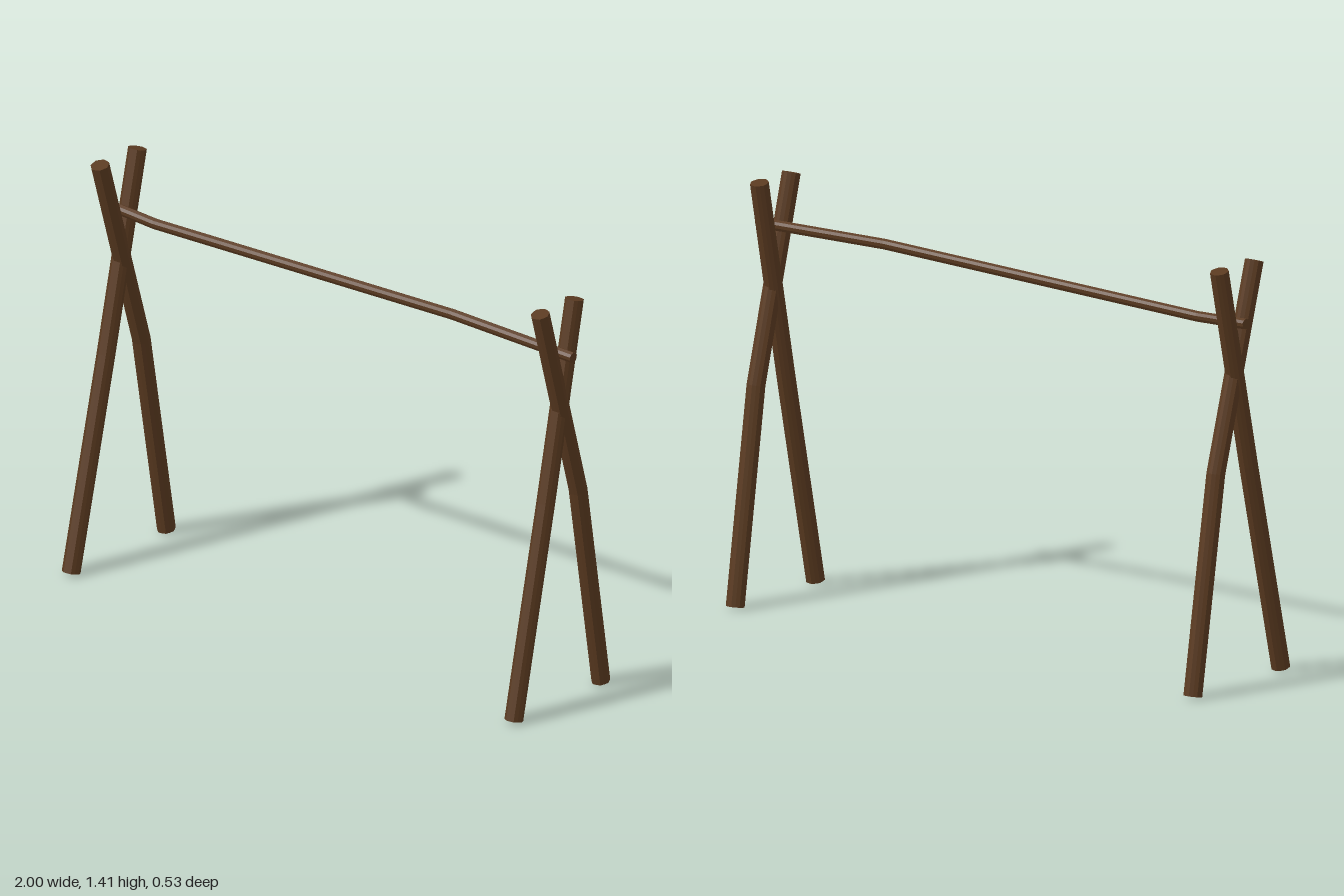
import * as THREE from 'three';

const wood = new THREE.MeshStandardMaterial({ color: 0x5a3a20, flatShading: true });
wood.name = 'dark wood';

// Closed pole through a few points, with shallow bark grooves and mitred bends
function pole(name, points, radius, sides, ref) {
  const pts = points.map(p => new THREE.Vector3(...p));
  const pos = [], index = [];
  const n = pts.length;
  pts.forEach((p, i) => {
    const dirIn = pts[Math.max(i, 1)].clone().sub(pts[Math.max(i, 1) - 1]).normalize();
    const j = Math.min(i, n - 2);
    const dirOut = pts[j + 1].clone().sub(pts[j]).normalize();
    const t = dirIn.add(dirOut).normalize();
    const u = ref.clone().addScaledVector(t, -ref.dot(t)).normalize();
    const v = t.clone().cross(u);
    for (let k = 0; k < sides; k++) {
      const a = (k / sides) * Math.PI * 2;
      const r = radius * (k % 2 ? 0.95 : 1.02);
      const q = p.clone().addScaledVector(u, r * Math.cos(a)).addScaledVector(v, r * Math.sin(a));
      pos.push(q.x, q.y, q.z);
    }
  });
  // cap centres
  pos.push(...points[0], ...points[n - 1]);
  const start = n * sides, end = start + 1, last = (n - 1) * sides;
  for (let k = 0; k < sides; k++) {
    const m = (k + 1) % sides;
    for (let i = 0; i < n - 1; i++) {
      const a = i * sides + k, b = i * sides + m;
      index.push(a, b, b + sides, a, b + sides, a + sides);
    }
    index.push(start, m, k, end, last + k, last + m);
  }
  const g = new THREE.BufferGeometry();
  g.setAttribute('position', new THREE.Float32BufferAttribute(pos, 3));
  g.setIndex(index);
  const flat = g.toNonIndexed();
  flat.computeVertexNormals();
  const mesh = new THREE.Mesh(flat, wood);
  mesh.name = name;
  return mesh;
}

// Pair of crossed legs; s scales the spread in z
function trestle(name, x, s, dz) {
  const group = new THREE.Group();
  group.name = name;
  const side = new THREE.Vector3(1, 0, 0);
  const z = v => v * s + dz;
  group.add(
    pole('frontLeg', [[x, 0.012, z(0.225)], [x, 0.73, z(0.058)], [x + 0.002, 1.41, z(-0.09)]], 0.031, 14, side),
    pole('backLeg', [[x, 0.012, z(-0.23)], [x + 0.009, 0.73, z(-0.1)], [x + 0.002, 1.41, z(0.09)]], 0.031, 14, side)
  );
  return group;
}

export function createModel() {
  const model = new THREE.Group();
  model.name = 'poleRack';
  model.add(trestle('rightTrestle', -0.958, 1.04, -0.002));
  model.add(trestle('leftTrestle', 0.928, 0.95, -0.005));
  // Slightly bent crossbar resting in the crossed legs
  model.add(pole('crossbar', [
    [-1, 1.222, -0.01], [-0.8, 1.215, -0.004], [0.48, 1.256, -0.004], [1, 1.248, -0.004]
  ], 0.018, 10, new THREE.Vector3(0, 1, 0)));
  return model;
}
